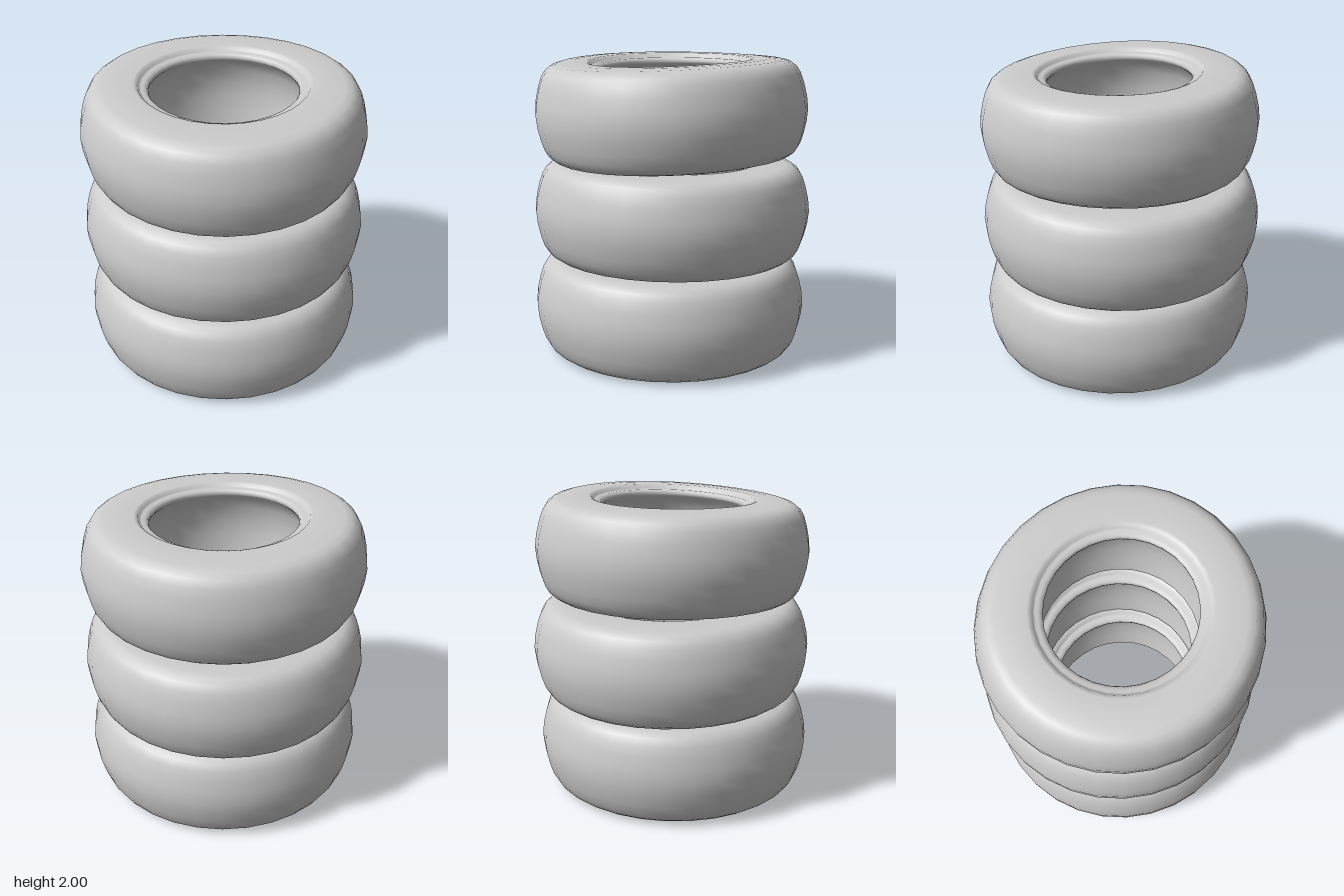
import * as THREE from 'three';

// Half section of one tyre (radius, height), running up the outside and down the inside
const SECTION = [
  [0.55, 0.0], [0.68, -0.002], [0.78, 0.002], [0.825, 0.014], [0.862, 0.04], [0.89, 0.085],
  [0.912, 0.15], [0.932, 0.235], [0.941, 0.32], [0.932, 0.405], [0.912, 0.49],
  [0.89, 0.555], [0.862, 0.6], [0.825, 0.626], [0.78, 0.638], [0.68, 0.644], [0.58, 0.642],
  [0.558, 0.636], [0.547, 0.618], [0.535, 0.612], [0.515, 0.612], [0.495, 0.604],
  [0.486, 0.588], [0.49, 0.57], [0.53, 0.535], [0.57, 0.46], [0.59, 0.35], [0.59, 0.25],
  [0.575, 0.13], [0.555, 0.04], [0.55, 0.0],
];

function makeTyre(name, material, { y, z, sx, sz, tilt = 0, sag = 0 }) {
  const points = SECTION.map(([r, h]) => new THREE.Vector2(r, h));
  const geometry = new THREE.LatheGeometry(points, 32);
  geometry.scale(sx, 1, sz);

  // Tilt the ring and let its front and back edges sag
  const p = geometry.attributes.position;
  for (let i = 0; i < p.count; i++) {
    const pz = p.getZ(i), py = p.getY(i);
    p.setY(i, py + tilt * pz - sag * pz * pz);
    p.setZ(i, pz - tilt * (py - 0.32));
  }

  const mesh = new THREE.Mesh(geometry, material);
  mesh.name = name;
  mesh.position.set(0, y, z);
  return mesh;
}

export function createModel() {
  const rubber = new THREE.MeshStandardMaterial({ color: 0xcccccc });
  rubber.name = 'light grey rubber';

  const model = new THREE.Group();
  model.name = 'tyreStack';
  model.add(
    makeTyre('bottomTyre', rubber, { y: 0.002, z: 0.018, sx: 1.005, sz: 0.985 }),
    makeTyre('middleTyre', rubber, { y: 0.655, z: -0.005, sx: 1.012, sz: 0.998, tilt: 0.011 }),
    makeTyre('topTyre', rubber, { y: 1.35, z: 0.005, sx: 0.998, sz: 0.97, tilt: -0.028, sag: 0.034 }),
  );
  return model;
}
